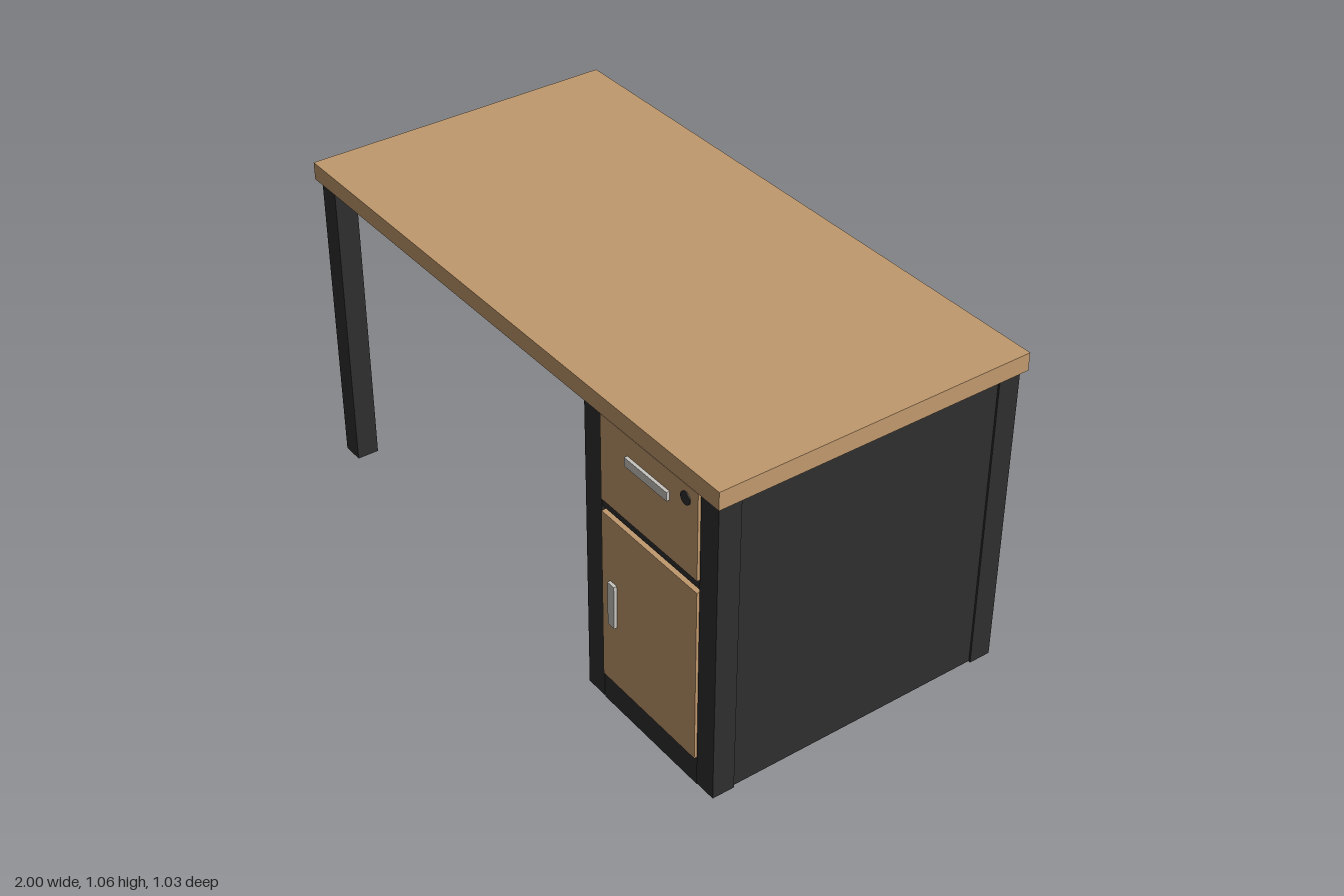
import * as THREE from 'three';

const material = (name, color) => {
  const m = new THREE.MeshStandardMaterial({ color });
  m.name = name;
  return m;
};

export function createModel() {
  const desk = new THREE.Group();
  desk.name = 'desk';
  const wood = material('wood', 0xc0996d);
  const black = material('black metal', 0x2e2e2e);
  const silver = material('silver', 0xc8c5c0);

  // Box given by its lower and upper limits on each axis
  const box = (name, mat, [x0, x1], [y0, y1], [z0, z1], parent = desk) => {
    const mesh = new THREE.Mesh(new THREE.BoxGeometry(x1 - x0, y1 - y0, z1 - z0), mat);
    mesh.position.set((x0 + x1) / 2, (y0 + y1) / 2, (z0 + z1) / 2);
    mesh.name = name;
    parent.add(mesh);
    return mesh;
  };

  // Worktop and rear modesty panel
  box('worktop', wood, [-1, 1], [1.003, 1.06], [-0.515, 0.515]);
  box('modestyPanel', wood, [-0.907, 0.41], [0.46, 1.003], [-0.487, -0.457]);

  // Free-standing legs
  for (const [side, z] of [['front', [0.43, 0.502]], ['back', [-0.502, -0.43]]]) {
    box(side + 'Leg', black, [-0.98, -0.907], [0.006, 1.003], z);
  }

  // Drawer cabinet: corner posts, walls, floor and front rails
  const cabinet = new THREE.Group();
  cabinet.name = 'cabinet';
  desk.add(cabinet);
  for (const x of [[0.403, 0.478], [0.911, 0.984]]) {
    for (const z of [[0.43, 0.502], [-0.502, -0.43]]) {
      box('cabinetPost', black, x, [0.006, 1.003], z, cabinet);
    }
  }
  box('innerWall', black, [0.41, 0.43], [0.008, 1.003], [-0.43, 0.43], cabinet);
  box('outerWall', black, [0.958, 0.978], [0.008, 1.003], [-0.43, 0.43], cabinet);
  box('backWall', black, [0.478, 0.911], [0.008, 1.003], [-0.496, -0.476], cabinet);
  box('cabinetFloor', black, [0.411, 0.977], [0.012, 0.03], [-0.495, 0.44], cabinet);
  box('frontBacking', black, [0.478, 0.911], [0.03, 1.003], [0.44, 0.492], cabinet);
  box('kickRail', black, [0.478, 0.911], [0, 0.092], [0.43, 0.5], cabinet);
  box('middleRail', black, [0.478, 0.911], [0.685, 0.708], [0.47, 0.5], cabinet);

  // Drawer and door fronts with bar handles
  box('drawerFront', wood, [0.482, 0.906], [0.714, 0.992], [0.485, 0.507], cabinet);
  box('doorFront', wood, [0.482, 0.906], [0.096, 0.674], [0.485, 0.507], cabinet);
  box('drawerHandle', silver, [0.603, 0.787], [0.9, 0.928], [0.505, 0.517], cabinet);
  box('doorHandle', silver, [0.52, 0.55], [0.31, 0.457], [0.505, 0.517], cabinet);

  // Round drawer lock
  const lock = new THREE.Mesh(new THREE.CylinderGeometry(0.02, 0.02, 0.006, 20), black);
  lock.rotation.x = Math.PI / 2;
  lock.position.set(0.855, 0.95, 0.507);
  lock.name = 'lock';
  cabinet.add(lock);

  return desk;
}
